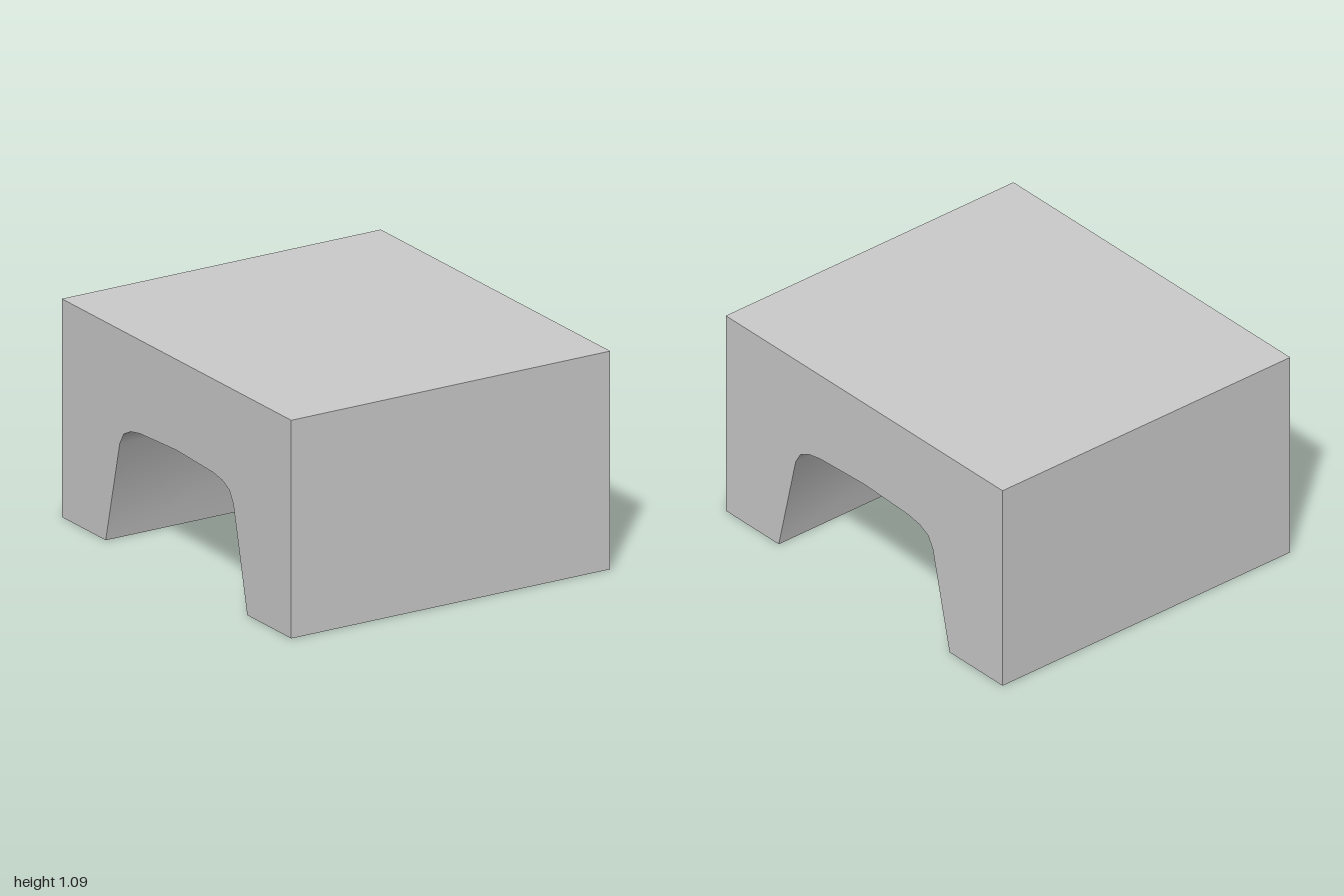
import * as THREE from 'three';
import { toCreasedNormals } from 'three/addons/utils/BufferGeometryUtils.js';

const WIDTH = 1.78, HEIGHT = 1.09, HALF_DEPTH = 1;

// Half of the tunnel outline, from the foot up to just before the crown: [z, y]
const ARCH = [[0.617, 0], [0.495, 0.52], [0.46, 0.578], [0.4, 0.608], [0.32, 0.623]];

export function createModel() {
  const group = new THREE.Group();
  group.name = 'archedBlock';

  // Side profile: a rectangle with the mirrored arch cut out of its underside
  const mirrored = ARCH.map(([z, y]) => [-z, y]).reverse();
  const outline = [
    ...mirrored.reverse(), [0, 0.637], ...[...ARCH].reverse(),
    [HALF_DEPTH, 0], [HALF_DEPTH, HEIGHT], [-HALF_DEPTH, HEIGHT], [-HALF_DEPTH, 0],
  ];
  const shape = new THREE.Shape(outline.map(([z, y]) => new THREE.Vector2(z, y)));

  // Extrude across the width, so the tunnel runs along x
  const extruded = new THREE.ExtrudeGeometry(shape, { depth: WIDTH, bevelEnabled: false });
  extruded.translate(0, 0, -WIDTH / 2).rotateY(-Math.PI / 2);

  // Smooth tunnel shoulders, sharp block edges
  const block = new THREE.Mesh(
    toCreasedNormals(extruded, 0.7),
    new THREE.MeshStandardMaterial({ color: 0xcccccc }),
  );
  block.name = 'tunnelBlock';
  group.add(block);
  return group;
}
